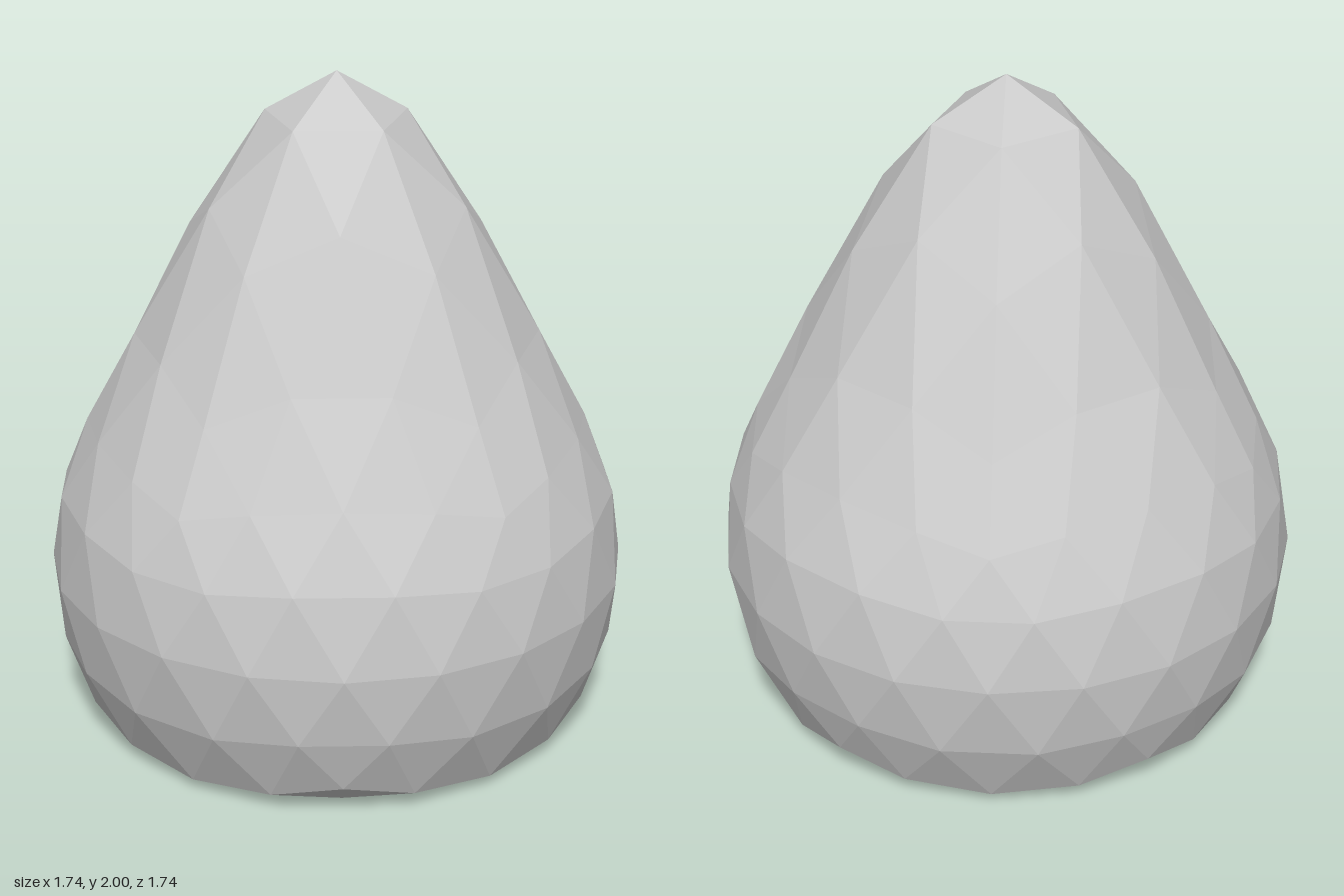
import * as THREE from 'three';

const RADIUS = 0.868;   // radius of the round body
const CENTER_Y = 0.49;  // height of its widest ring
const TIP_LIFT = 0.642; // pull that forms the pointed top
const HOLLOW_LIFT = 1.04; // push that forms the cavity underneath

// Smooth pull that fades out one radius away from a pole
function falloff(distance) {
  const t = Math.max(0, 1 - distance / RADIUS);
  return t * t * (3 - 2 * t);
}

export function createModel() {
  const group = new THREE.Group();
  group.name = 'pointedDome';

  // Faceted ball, turned so that one corner points straight up
  const geometry = new THREE.IcosahedronGeometry(RADIUS, 3);
  geometry.rotateZ(Math.atan(2 / (1 + Math.sqrt(5))));
  geometry.rotateY(Math.PI);

  // Draw the top pole up to a tip and push the bottom pole inside
  const top = new THREE.Vector3(0, RADIUS, 0);
  const bottom = new THREE.Vector3(0, -RADIUS, 0);
  const position = geometry.attributes.position;
  const p = new THREE.Vector3();
  for (let i = 0; i < position.count; i++) {
    p.fromBufferAttribute(position, i);
    const lift = TIP_LIFT * falloff(p.distanceTo(top))
      + HOLLOW_LIFT * falloff(p.distanceTo(bottom));
    position.setY(i, p.y + CENTER_Y + lift);
  }
  geometry.computeVertexNormals();

  const material = new THREE.MeshStandardMaterial({ color: 0xcccccc, flatShading: true });
  const body = new THREE.Mesh(geometry, material);
  body.name = 'hollowBody';
  group.add(body);
  return group;
}
